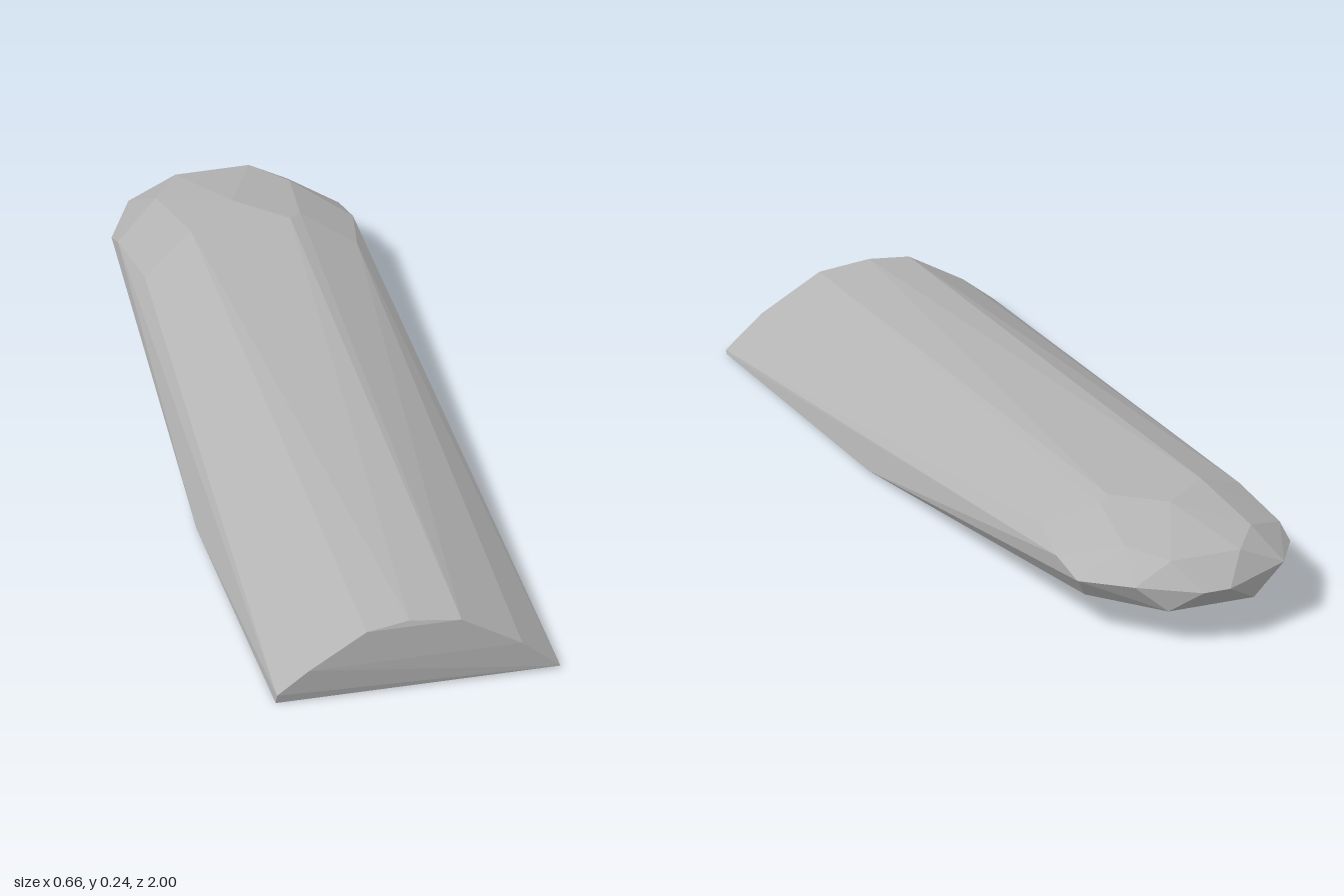
import * as THREE from 'three';
import { ConvexGeometry } from 'three/addons/geometries/ConvexGeometry.js';

// Faceted, domed slab: cross-sections from the blunt front to the rounded back
const sections = [
  // front underside edge, slightly set back
  [[-0.33, 0, 0.985], [0.33, 0, 0.985]],
  // front arch
  [[-0.328, 0.022, 0.99], [-0.255, 0.08, 0.995], [-0.12, 0.16, 0.99], [-0.02, 0.173, 0.985],
    [0.1, 0.16, 0.99], [0.24, 0.08, 0.995], [0.328, 0.006, 0.995]],
  // widest part of the flat underside and where the keel starts to lift
  [[-0.33, 0.006, 0.24], [0.318, 0.008, 0.22]],
  [[-0.13, 0, -0.25], [0.13, 0, -0.25]],
  // shoulders and crown
  [[-0.255, 0.178, -0.55], [0.245, 0.172, -0.58], [-0.27, 0.155, -0.74], [0.27, 0.155, -0.72]],
  [[-0.13, 0.237, -0.62], [0.1, 0.237, -0.62], [0.13, 0.228, -0.65], [-0.01, 0.239, -0.72]],
  // rounded back end
  [[-0.27, 0.13, -0.8], [0.262, 0.13, -0.82], [-0.16, 0.2, -0.83], [0.15, 0.2, -0.83]],
  [[-0.2, 0.14, -0.925], [0.17, 0.14, -0.93], [-0.09, 0.19, -0.93], [0.08, 0.19, -0.93]],
  [[-0.035, 0.13, -1], [0.03, 0.13, -1]],
  // lifted underside of the back end
  [[-0.24, 0.085, -0.8], [0.235, 0.085, -0.8], [-0.11, 0.082, -0.96], [0.1, 0.082, -0.96]],
];

export function createModel() {
  const group = new THREE.Group();
  group.name = 'facetedSlab';
  const grey = new THREE.MeshStandardMaterial({ color: 0xb4b4b4 });
  grey.name = 'grey';

  const points = sections.flat().map((p) => new THREE.Vector3(...p));
  const body = new THREE.Mesh(new ConvexGeometry(points), grey);
  body.name = 'slabBody';
  group.add(body);
  return group;
}
